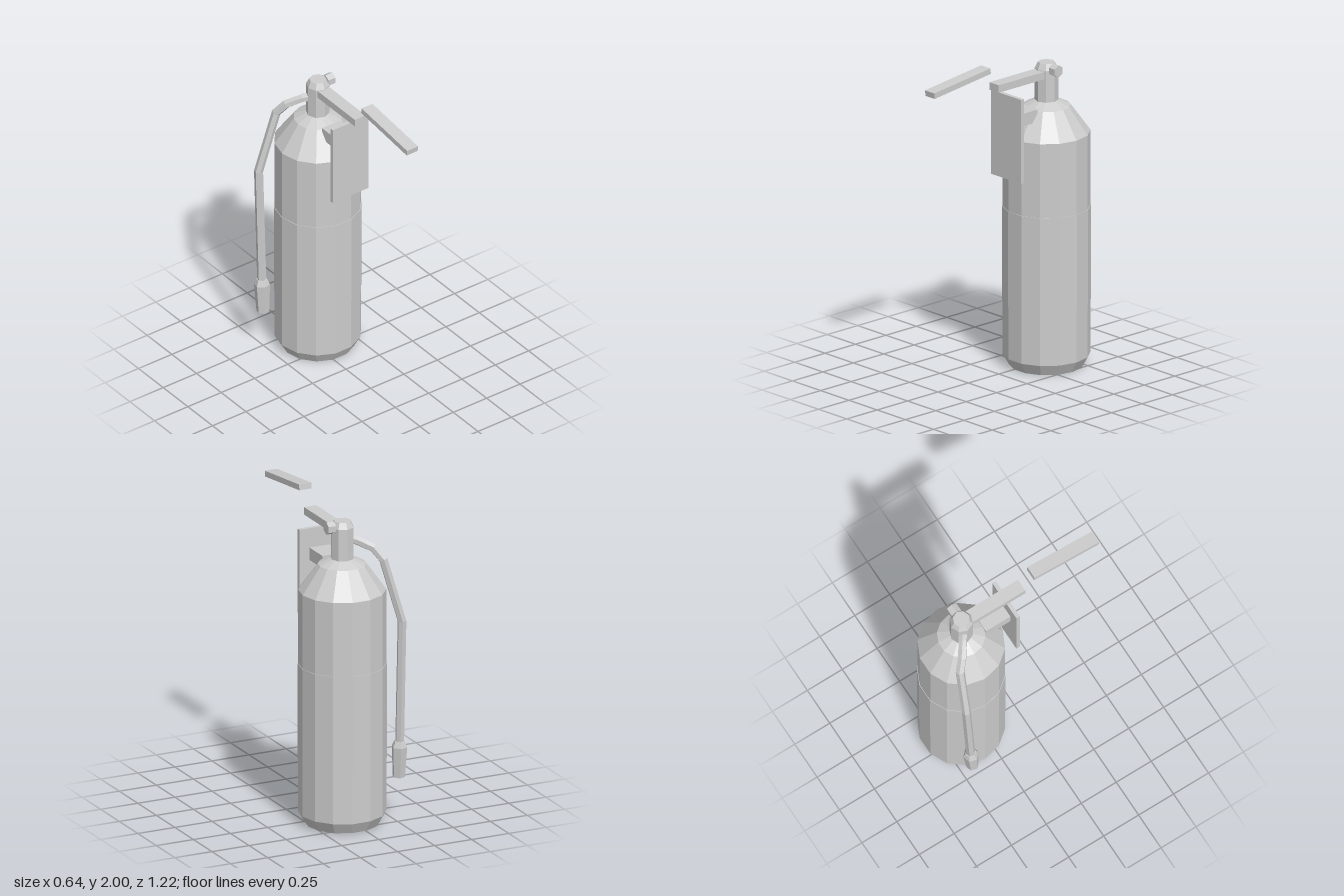
import * as THREE from 'three';

const CX = 0.047, CZ = -0.349; // axis of the cylinder

export function createModel() {
  const group = new THREE.Group();
  const grey = new THREE.MeshStandardMaterial({ color: 0xcccccc, flatShading: true });
  grey.name = 'light grey';

  const add = (name, geometry, x = 0, y = 0, z = 0) => {
    const mesh = new THREE.Mesh(geometry, grey);
    mesh.name = name;
    mesh.position.set(x, y, z);
    group.add(mesh);
    return mesh;
  };
  const box = (name, x0, x1, y0, y1, z0, z1) => add(name,
    new THREE.BoxGeometry(x1 - x0, y1 - y0, z1 - z0),
    (x0 + x1) / 2, (y0 + y1) / 2, (z0 + z1) / 2);
  const lathe = (name, profile, sides) => add(name,
    new THREE.LatheGeometry(profile.map(([r, y]) => new THREE.Vector2(r, y)), sides, Math.PI / 2),
    CX, 0, CZ);

  // Tank with a raised band around the middle
  lathe('tank', [[0, 0], [0.227, 0], [0.266, 0.07], [0.266, 0.405], [0.269, 0.405],
    [0.269, 1.01], [0.266, 1.01], [0.266, 1.48], [0.147, 1.645], [0.07, 1.68], [0, 1.68]], 14);

  // Valve neck with chamfered top
  lathe('valveNeck', [[0.0715, 1.66], [0.0715, 1.88], [0.052, 1.918], [0, 1.918]], 8);

  // Side gauge on a short stem
  const gauge = (name, r, x0, x1) => {
    const mesh = add(name, new THREE.CylinderGeometry(r, r, x1 - x0, 6, 1, false, Math.PI / 2),
      (x0 + x1) / 2, 1.882, CZ);
    mesh.rotation.z = -Math.PI / 2;
  };
  gauge('gaugeStem', 0.024, 0.08, 0.11);
  gauge('gaugeHead', 0.0385, 0.104, 0.155);

  // Carrying handle and the detached squeeze lever
  box('handle', 0.006, 0.088, 1.828, 1.876, -0.34, 0.083);
  const lever = add('lever', new THREE.BoxGeometry(0.082, 0.036, 0.465), 0.047, 1.954, 0.379);
  lever.rotation.x = 0.117;

  // Front plate and its bracket
  box('plate', -0.087, 0.181, 1.249, 1.783, -0.04, -0.015);
  box('plateBracket', -0.02, 0.113, 1.58, 1.66, -0.215, -0.035);

  // Hose and nozzle
  add('hose', loft([[0.01, 1.8, -0.36], [-0.035, 1.79, -0.39], [-0.115, 1.748, -0.447],
    [-0.16, 1.68, -0.49], [-0.272, 1.28, -0.517], [-0.272, 0.49, -0.485]],
  [0.028, 0.028, 0.028, 0.028, 0.028, 0.028], 6));
  add('nozzle', loft([[-0.272, 0.507, -0.485], [-0.272, 0.47, -0.483], [-0.272, 0.277, -0.474]],
    [0.034, 0.049, 0.039], 6));
  return group;
}

// Capped tube with one ring of the given radius at each point
function loft(points, radii, sides) {
  const p = points.map((a) => new THREE.Vector3(...a));
  const n = p.length, position = [], index = [];
  p.forEach((c, i) => {
    const t = new THREE.Vector3();
    if (i > 0) t.add(c.clone().sub(p[i - 1]).normalize());
    if (i < n - 1) t.add(p[i + 1].clone().sub(c).normalize());
    t.normalize();
    const u = new THREE.Vector3(-1, 0, 1).cross(t).normalize();
    const v = t.clone().cross(u);
    for (let k = 0; k < sides; k++) {
      const a = (k / sides) * Math.PI * 2;
      const q = c.clone().addScaledVector(u, Math.cos(a) * radii[i]).addScaledVector(v, Math.sin(a) * radii[i]);
      position.push(q.x, q.y, q.z);
    }
  });
  for (let i = 0; i < n - 1; i++) {
    for (let k = 0; k < sides; k++) {
      const a = i * sides + k, b = i * sides + (k + 1) % sides;
      index.push(a, b, b + sides, a, b + sides, a + sides);
    }
  }
  const end = (n - 1) * sides;
  for (let k = 1; k < sides - 1; k++) index.push(0, k + 1, k, end, end + k, end + k + 1);
  const geometry = new THREE.BufferGeometry();
  geometry.setAttribute('position', new THREE.Float32BufferAttribute(position, 3));
  geometry.setIndex(index);
  geometry.computeVertexNormals();
  return geometry;
}
